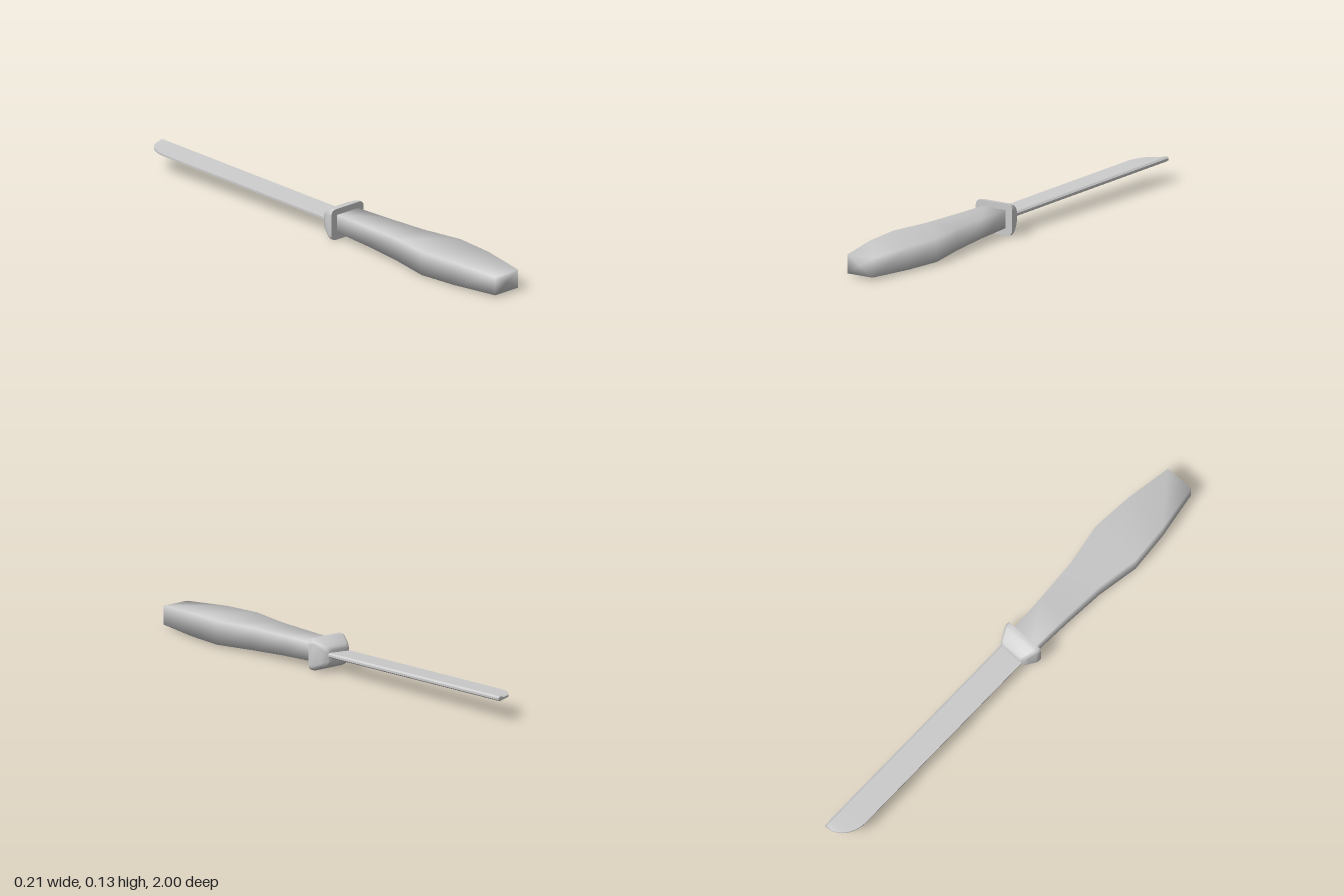
import * as THREE from 'three';
import { toCreasedNormals } from 'three/addons/utils/BufferGeometryUtils.js';

// Closed skin over cross-sections; each is { z, pts: [[x, y], ...] } counter-clockwise
// seen from +z, ordered from +z to -z.
function loft(sections, crease) {
  const pos = [], index = [];
  const n = sections[0].pts.length;
  for (const { z, pts } of sections) for (const [x, y] of pts) pos.push(x, y, z);
  for (let s = 0; s < sections.length - 1; s++) {
    for (let i = 0; i < n; i++) {
      const a = s * n + i, b = s * n + (i + 1) % n;
      index.push(a, a + n, b + n, a, b + n, b);
    }
  }
  const cap = (s, flip) => {
    const { z, pts } = sections[s];
    const c = pos.length / 3;
    pos.push(pts.reduce((t, p) => t + p[0], 0) / n, pts.reduce((t, p) => t + p[1], 0) / n, z);
    for (let i = 0; i < n; i++) {
      const a = s * n + i, b = s * n + (i + 1) % n;
      index.push(c, flip ? b : a, flip ? a : b);
    }
  };
  cap(0, false);
  cap(sections.length - 1, true);
  const geo = new THREE.BufferGeometry();
  geo.setAttribute('position', new THREE.Float32BufferAttribute(pos, 3));
  geo.setIndex(index);
  if (crease) return toCreasedNormals(geo, crease);
  geo.computeVertexNormals();
  return geo;
}

function rectangle(w, y0, y1) {
  return [[-w, y0], [w, y0], [w, y1], [-w, y1]];
}

function roundedRectangle(w, y0, y1, r, steps = 5) {
  const pts = [];
  const corners = [[w - r, y0 + r, -0.5], [w - r, y1 - r, 0], [-w + r, y1 - r, 0.5], [-w + r, y0 + r, 1]];
  for (const [cx, cy, start] of corners) {
    for (let k = 0; k <= steps; k++) {
      const t = (start + 0.5 * k / steps) * Math.PI;
      pts.push([cx + r * Math.cos(t), cy + r * Math.sin(t)]);
    }
  }
  return pts;
}

export function createModel() {
  const group = new THREE.Group();
  const material = new THREE.MeshStandardMaterial({ color: 0xcccccc });
  const add = (name, geo) => {
    const mesh = new THREE.Mesh(geo, material);
    mesh.name = name;
    group.add(mesh);
  };

  // Handle: four-sided, swelling towards the butt: z, half width, bottom, top
  const handle = [
    [1.0, 0.061, 0.011, 0.087],
    [0.8, 0.092, 0.008, 0.1],
    [0.63, 0.105, 0.007, 0.103],
    [0.45, 0.075, 0.014, 0.103],
    [0.27, 0.064, 0.024, 0.103],
    [0.08, 0.056, 0.031, 0.103],
  ].map(([z, w, y0, y1]) => ({ z, pts: rectangle(w, y0, y1) }));
  add('handle', loft(handle));

  // Guard: flat towards the handle, tapering to the blade: z, half width, bottom, top, corner radius
  const guard = [
    [0.1, 0.087, 0.0, 0.128, 0.022],
    [0.085, 0.087, 0.0, 0.128, 0.022],
    [0.075, 0.083, 0.003, 0.125, 0.022],
    [0.05, 0.071, 0.014, 0.115, 0.02],
    [0.03, 0.06, 0.023, 0.104, 0.018],
    [0.022, 0.053, 0.03, 0.096, 0.016],
    [0.02, 0.045, 0.037, 0.088, 0.014],
  ].map(([z, w, y0, y1, r]) => ({ z, pts: roundedRectangle(w, y0, y1, r) }));
  add('guard', loft(guard, 1.0));

  // Blade: thin wedge with a bevelled spine at +x, rising slightly to a rounded tip
  const spine = 0.054;
  const bladeSection = (z, edge) => {
    const y = 0.07 - 0.018 * z;
    const bevel = spine - 0.008;
    const x = Math.min(edge, bevel - 0.004);
    return {
      z,
      pts: [[x, y - 0.004], [bevel, y - 0.01], [spine, y - 0.004],
        [spine, y + 0.004], [bevel, y + 0.01], [x, y + 0.004]],
    };
  };
  const blade = [bladeSection(0.05, -0.056)];
  for (let k = 0; k <= 10; k++) {
    const t = k / 10 * Math.PI / 2;
    blade.push(bladeSection(-0.88 - 0.12 * Math.sin(t), 0.04 - 0.096 * Math.cos(t)));
  }
  add('blade', loft(blade, 0.6));

  return group;
}
